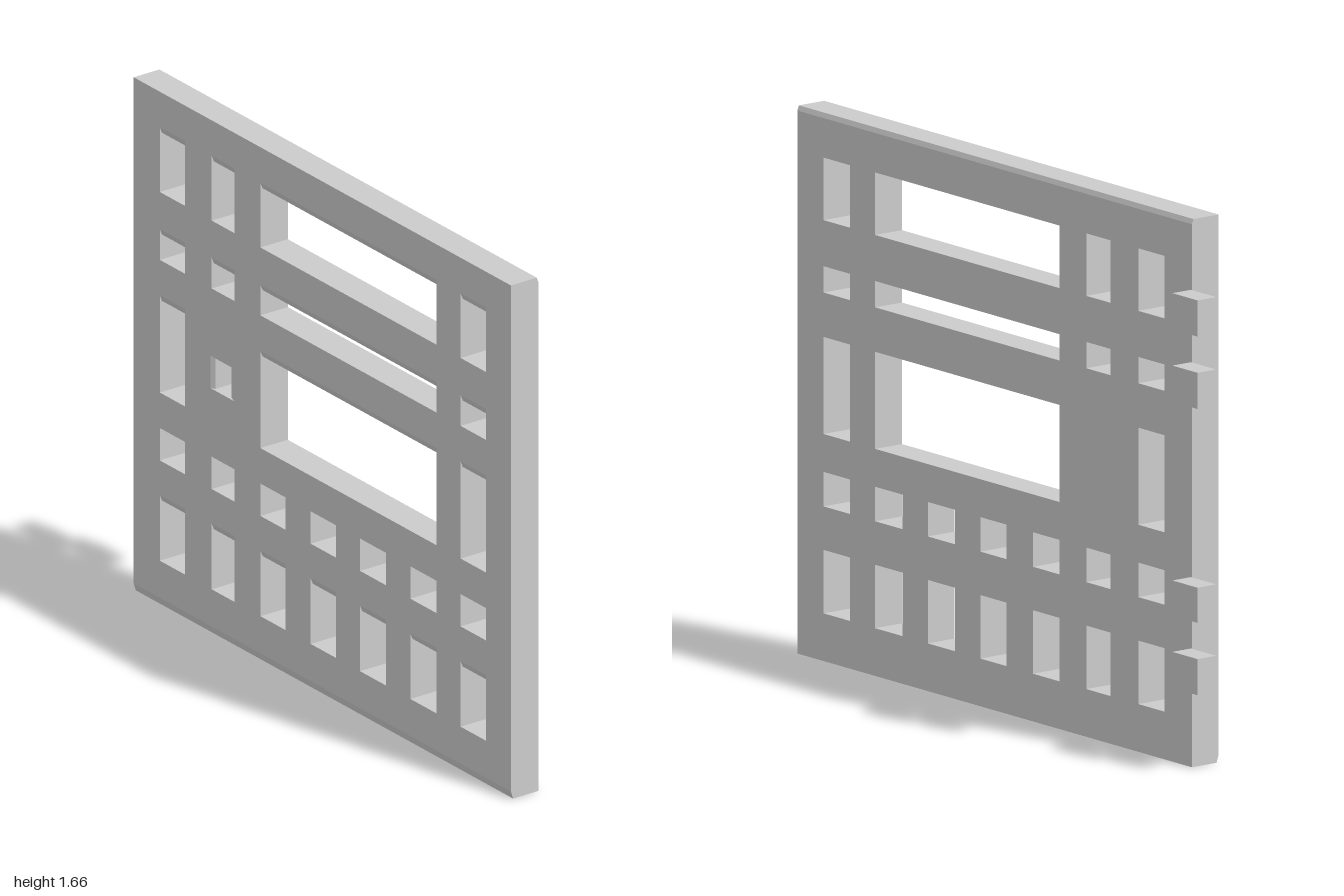
import * as THREE from 'three';

const LEFT = -0.885, RIGHT = 0.99, TOP = 1.665;
const cols = [[-0.755, -0.63], [-0.497, -0.383], [-0.255, -0.13], [-0.005, 0.12], [0.24, 0.37], [0.49, 0.62], [0.74, 0.865]];
const rows = [[0.145, 0.338], [0.47, 0.575], [0.69, 0.985], [1.12, 1.2], [1.34, 1.53]];
const wide = [-0.255, 0.62];
const niche = { x: [-0.49, -0.41], y: [0.795, 0.9] };
const near = (a, b) => Math.abs(a - b) < 1e-4;

function rect(P, [x0, x1], [y0, y1]) {
  return new P([[x0, y0], [x1, y0], [x1, y1], [x0, y1]].map(([x, y]) => new THREE.Vector2(x, y)));
}

export function createModel() {
  const group = new THREE.Group();
  const material = new THREE.MeshStandardMaterial({ color: 0xcccccc, flatShading: true });
  const add = (name, geometry) => {
    const mesh = new THREE.Mesh(geometry, material);
    mesh.name = name;
    group.add(mesh);
    return mesh;
  };

  // One slab of the pierced panel; bevel(x, y, z) returns the moved [x, y]
  function layer(name, z0, z1, withNiche, bevel) {
    const shape = rect(THREE.Shape, [LEFT, RIGHT], [0, TOP]);
    rows.forEach((row, r) => {
      const spans = r < 2 ? cols : r === 2 ? [cols[0], wide, cols[6]] : [cols[0], cols[1], wide, cols[6]];
      spans.forEach((span) => shape.holes.push(rect(THREE.Path, span, row)));
    });
    if (withNiche) shape.holes.push(rect(THREE.Path, niche.x, niche.y));
    const geometry = new THREE.ExtrudeGeometry(shape, { depth: z1 - z0, bevelEnabled: false });
    geometry.translate(0, 0, z0);
    if (bevel) {
      const p = geometry.attributes.position;
      for (let i = 0; i < p.count; i++) {
        const [x, y] = bevel(p.getX(i), p.getY(i), p.getZ(i));
        p.setXY(i, x, y);
      }
      geometry.computeVertexNormals();
    }
    add(name, geometry);
  }

  // Back skin: closes the niche and has a bevelled upper edge
  layer('panelBack', -0.016, -0.01, false, (x, y, z) => [x, near(z, -0.016) && near(y, TOP) ? TOP - 0.015 : y]);

  // Main thickness
  layer('panelCore', -0.01, 0.077, true);

  // Front skin: sloped lintels, sloped bottom edge and flared niche
  layer('panelFront', 0.077, 0.085, true, (x, y, z) => {
    if (!near(z, 0.085)) return [x, y];
    if (near(y, niche.y[0]) || near(y, niche.y[1])) return [near(x, niche.x[0]) ? -0.503 : -0.383, y];
    if (near(y, 0)) return [x, 0.025];
    const lintel = rows.some((row, r) => r !== 1 && near(y, row[1]));
    return [x, lintel ? y + 0.02 : y];
  });

  // Hinge pegs behind the side edge
  [[0.25, 0.36], [0.47, 0.577], [1.12, 1.23], [1.34, 1.45]].forEach(([y0, y1], i) => {
    const peg = add('hingePeg' + (i + 1), new THREE.BoxGeometry(0.12, y1 - y0, 0.07));
    peg.position.set(-0.94, (y0 + y1) / 2, -0.051);
  });

  return group;
}
